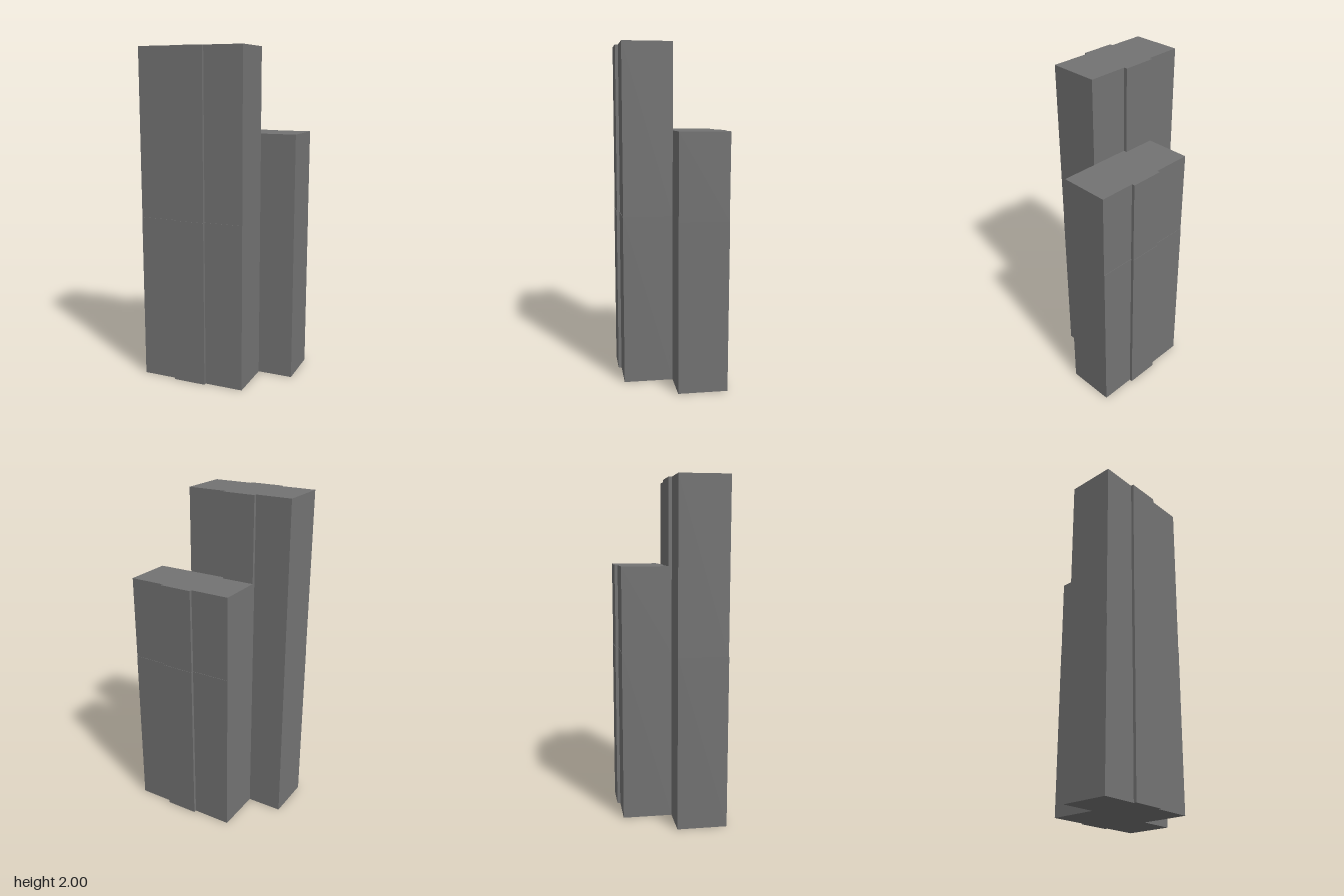
import * as THREE from 'three';

const material = new THREE.MeshStandardMaterial({ color: 0x737373, flatShading: true });

// Plan of one slab as [x, z]: a rectangle with a shallow raised strip on both broad faces
const PLAN = [
  [-0.431, 0], [-0.431, 0.292], [-0.217, 0.292], [-0.217, 0.31], [-0.018, 0.31], [-0.018, 0.292],
  [0.217, 0.292], [0.217, 0], [-0.018, 0], [-0.018, -0.02], [-0.217, -0.02], [-0.217, 0],
];
const JOINT = 1; // level of the fine joint across the outer face
const TAPER = 0.002; // how far the outer face leans in at the foot of each storey

// One storey of a slab, its outer face leaning in slightly towards the foot
function storey(name, bottom, top) {
  const shape = new THREE.Shape(PLAN.map(([x, z]) => new THREE.Vector2(x, -z)));
  const geometry = new THREE.ExtrudeGeometry(shape, { depth: top - bottom, bevelEnabled: false });
  geometry.rotateX(-Math.PI / 2);
  const p = geometry.attributes.position;
  for (let i = 0; i < p.count; i++) {
    if (p.getY(i) < 0.01 && p.getZ(i) > 0.2) p.setZ(i, p.getZ(i) - TAPER);
  }
  geometry.computeVertexNormals();
  const mesh = new THREE.Mesh(geometry, material);
  mesh.name = name;
  mesh.position.y = bottom;
  return mesh;
}

function slab(name, height) {
  const group = new THREE.Group();
  group.name = name;
  group.add(storey('lowerStorey', 0, JOINT), storey('upperStorey', JOINT, height));
  return group;
}

export function createModel() {
  const group = new THREE.Group();
  group.name = 'twinSlabTower';

  // Tall slab in front, and the lower one turned half round behind it
  const tall = slab('tallTower', 2);
  const low = slab('lowTower', 1.5);
  low.rotation.y = Math.PI;
  group.add(tall, low);
  return group;
}
